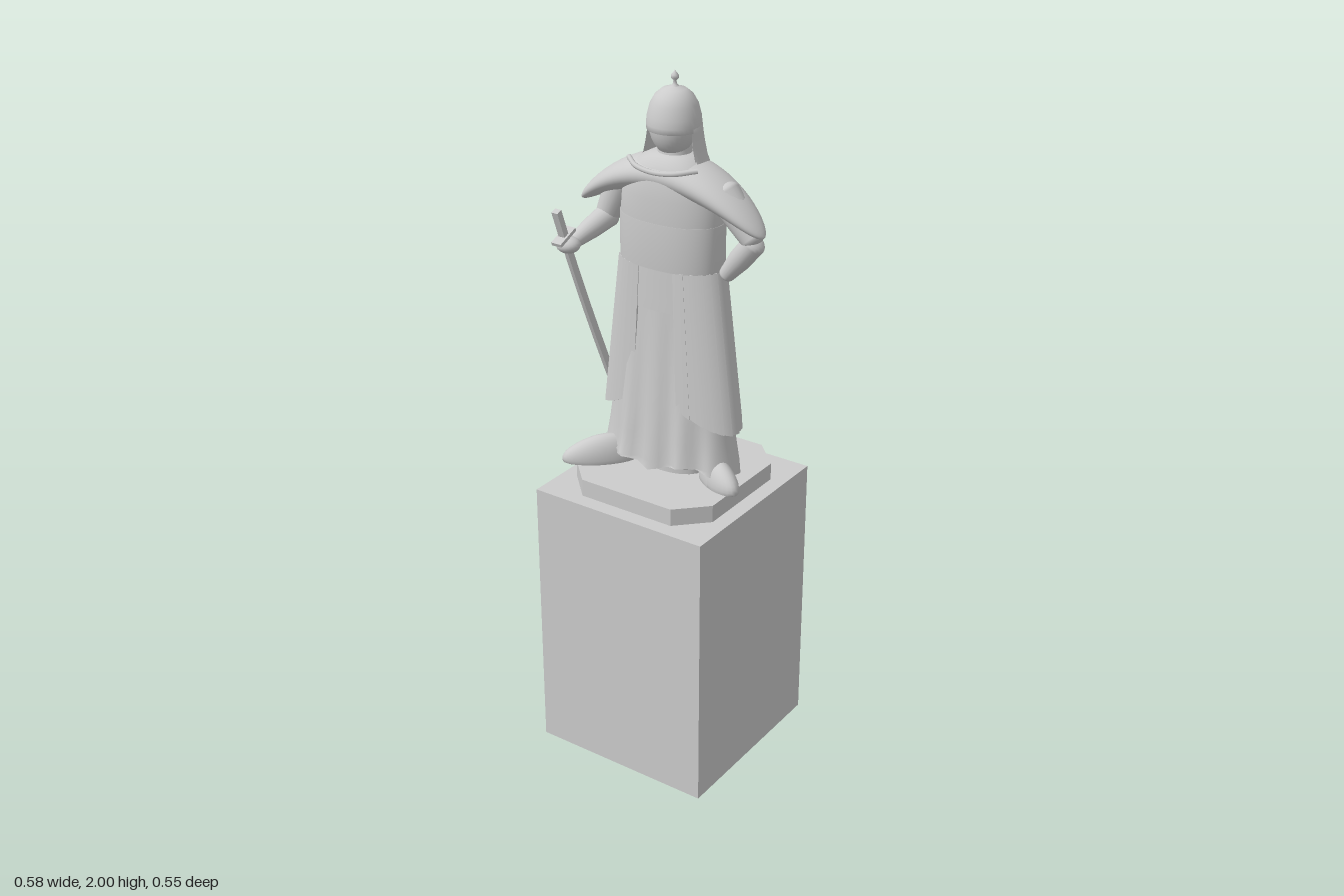
import * as THREE from 'three';

const mat = new THREE.MeshStandardMaterial({ color: 0xcccccc, side: THREE.DoubleSide });
const V = (x, y, z) => new THREE.Vector3(x, y, z);
const UP = V(0, 1, 0);
const lerp = THREE.MathUtils.lerp;

function add(group, name, geometry) {
  const mesh = new THREE.Mesh(geometry, mat);
  mesh.name = name;
  group.add(mesh);
  return mesh;
}

// Move every vertex of a geometry by a rule
function reshape(geometry, rule) {
  const p = geometry.attributes.position;
  for (let i = 0; i < p.count; i++) {
    const v = rule(p.getX(i), p.getY(i), p.getZ(i));
    p.setXYZ(i, v.x, v.y, v.z);
  }
  geometry.computeVertexNormals();
  return geometry;
}

// Point on an oval with separate front and back depths
function oval(a, rx, front, back, power = 0.88) {
  const c = Math.cos(a), s = Math.sin(a);
  return {
    x: rx * Math.sign(c) * Math.abs(c) ** power,
    z: (s > 0 ? front : back) * Math.sign(s) * Math.abs(s) ** power,
  };
}

// Surface through oval rings [y, halfWidth, front, back], lowest first
function loft(rings, rule = (v) => v, segments = 48) {
  const pos = [], index = [];
  rings.forEach(([y, rx, front, back], r) => {
    for (let i = 0; i < segments; i++) {
      const a = (i / segments) * Math.PI * 2;
      const o = oval(a, rx, front, back);
      const v = rule(V(o.x, y, o.z), a, r / (rings.length - 1));
      pos.push(v.x, v.y, v.z);
      if (r === rings.length - 1) continue;
      const p = r * segments + i, q = r * segments + ((i + 1) % segments);
      index.push(p, p + segments, q, q, p + segments, q + segments);
    }
  });
  const g = new THREE.BufferGeometry();
  g.setAttribute('position', new THREE.Float32BufferAttribute(pos, 3));
  g.setIndex(index);
  g.computeVertexNormals();
  return g;
}

// Rounded, tapered limb between two points
function limb(group, name, a, b, ra, rb, bulge = 0) {
  const len = a.distanceTo(b), pts = [];
  for (let i = 0; i <= 5; i++) {
    const t = (i / 5) * Math.PI / 2;
    pts.push(new THREE.Vector2(ra * Math.sin(t), -ra * 0.6 * Math.cos(t)));
  }
  pts.push(new THREE.Vector2((ra + rb) / 2 + bulge, len / 2));
  for (let i = 0; i <= 5; i++) {
    const t = (i / 5) * Math.PI / 2;
    pts.push(new THREE.Vector2(rb * Math.cos(t), len + rb * 0.6 * Math.sin(t)));
  }
  const m = add(group, name, new THREE.LatheGeometry(pts, 20));
  m.position.copy(a);
  m.quaternion.setFromUnitVectors(UP, b.clone().sub(a).normalize());
  return m;
}

// Curved armour plate hung on the skirt between two angles
function plate(a0, a1, top, bottomAt, lift0, lift1) {
  return reshape(new THREE.BoxGeometry(1, 1, 1, 4, 4, 1), (x, y, z) => {
    const u = x + 0.5, a = lerp(a0, a1, u);
    const h = lerp(bottomAt(a), top, y + 0.5);
    const t = (1.49 - h) / 0.46;
    const off = (z - 0.5) * 0.012 + lerp(lift0, lift1, u);
    const o = oval(a, lerp(0.15, 0.208, t) + off, lerp(0.083, 0.092, t) + off, lerp(0.08, 0.098, t) + off);
    return V(o.x, h, o.z);
  });
}

function buildBase(group) {
  add(group, 'pedestal', new THREE.BoxGeometry(0.55, 0.83, 0.55)).position.set(0.003, 0.415, 0);
  const r = 0.23, c = 0.148;
  const shape = new THREE.Shape([[r, c], [c, r], [-c, r], [-r, c], [-r, -c], [-c, -r], [c, -r], [r, -c]]
    .map(([x, y]) => new THREE.Vector2(x, y)));
  const g = new THREE.ExtrudeGeometry(shape, { depth: 0.05, bevelEnabled: false });
  add(group, 'plinth', g.rotateX(-Math.PI / 2)).position.set(0.003, 0.83, 0);
}

function buildRobe(group) {
  // Long robe: hem raised in front, with folds fading upward
  const rings = [
    [0.885, 0.212, 0.108, 0.1], [0.93, 0.208, 0.105, 0.1], [1.0, 0.194, 0.1, 0.1], [1.1, 0.18, 0.093, 0.098],
    [1.25, 0.164, 0.086, 0.092], [1.38, 0.152, 0.082, 0.083], [1.5, 0.146, 0.08, 0.078],
  ];
  add(group, 'robe', loft(rings, (v, a, t) => {
    const s = Math.max(0, Math.sin(a)), fade = (1 - t) ** 1.3;
    const knee = Math.exp(-(((v.x + 0.09) / 0.06) ** 2)) * 0.022;
    v.z += s * fade * (0.013 * Math.cos(v.x * 70) + knee);
    if (t === 0) v.y += 0.048 * THREE.MathUtils.smoothstep(Math.sin(a), -0.7, 0.3) * (0.75 - 0.25 * Math.cos(v.x * 30));
    return v;
  }, 72));
  add(group, 'innerRobe', new THREE.CylinderGeometry(0.1, 0.1, 0.12, 20).scale(1, 1, 0.6)).position.set(0, 0.94, 0);

  // Plates around each hip, long at the sides and cut away front and back
  const front = 1.26, back = 1.53;
  const hem = (a) => {
    const b = Math.cos(a) >= 0 ? Math.atan2(Math.sin(a), Math.cos(a)) : Math.atan2(Math.sin(a), -Math.cos(a));
    return b > 0 ? 1.03 + 0.07 * (b / front) ** 2 : 1.03 + 0.31 * (-b / back) ** 2.2;
  };
  for (const side of [1, -1]) {
    const skirt = new THREE.Group();
    skirt.name = side > 0 ? 'leftSkirtArmour' : 'rightSkirtArmour';
    const n = 13;
    for (let i = 0; i < n; i++) {
      const a = [i, i + 1].map((k) => {
        const b = lerp(front, -back, k / n);
        return side > 0 ? b : Math.PI - b;
      });
      const lift = [0.002, 0.009];
      if (side > 0) { a.reverse(); lift.reverse(); }
      else a.sort((p, q) => p - q);
      // Angles run so that the box faces stay outward after bending
      add(skirt, 'skirtPlate', plate(Math.max(...a), Math.min(...a), 1.49, hem,
        side > 0 ? 0.002 : 0.009, side > 0 ? 0.009 : 0.002));
    }
    group.add(skirt);
  }
  add(group, 'frontApron', plate(Math.PI / 2 + 0.5, Math.PI / 2 - 0.5, 1.49, () => 1.37, 0.001, 0.001));
}

function buildTorso(group) {
  add(group, 'torso', loft([
    [1.485, 0.152, 0.086, 0.084], [1.55, 0.15, 0.087, 0.083], [1.62, 0.151, 0.09, 0.083],
    [1.68, 0.145, 0.09, 0.084], [1.73, 0.125, 0.086, 0.082], [1.765, 0.098, 0.075, 0.076],
    [1.785, 0.06, 0.05, 0.055], [1.79, 0.001, 0.001, 0.001],
  ]));
  add(group, 'waistBand', loft([
    [1.488, 0.149, 0.083, 0.081], [1.488, 0.155, 0.09, 0.087], [1.615, 0.154, 0.092, 0.086], [1.615, 0.148, 0.086, 0.08],
  ]));
  // Broad mantle drooping over both shoulders
  add(group, 'shoulderMantle', reshape(new THREE.SphereGeometry(1, 48, 32).rotateZ(Math.PI / 2), (x, y, z) =>
    V(0.288 * x, 1.735 - 0.122 * x * x + 0.05 * y, 0.087 * z + 0.008 * x * x)));
  // Raised collar edge across the chest
  const collar = new THREE.CatmullRomCurve3([V(-0.108, 1.765, 0.045), V(-0.06, 1.757, 0.079),
    V(0, 1.752, 0.087), V(0.06, 1.757, 0.079), V(0.108, 1.765, 0.045)]);
  add(group, 'collar', new THREE.TubeGeometry(collar, 24, 0.007, 8));
}

function buildHead(group) {
  add(group, 'face', new THREE.SphereGeometry(1, 32, 20).scale(0.063, 0.085, 0.062)).position.set(0, 1.862, 0);
  add(group, 'neck', new THREE.CylinderGeometry(0.042, 0.05, 0.06, 20)).position.set(0, 1.785, -0.01);
  const dome = [[0.066, 0], [0.072, 0], [0.073, 0.015], [0.071, 0.035], [0.063, 0.066], [0.05, 0.089], [0.032, 0.104], [0, 0.113]];
  add(group, 'helmet', new THREE.LatheGeometry(dome.map(([x, y]) => new THREE.Vector2(x, y)), 36))
    .position.set(0.001, 1.848, -0.005);
  const tip = [[0.011, 0], [0.006, 0.005], [0.004, 0.014], [0.01, 0.021], [0.01, 0.029], [0.004, 0.036], [0, 0.042]];
  add(group, 'finial', new THREE.LatheGeometry(tip.map(([x, y]) => new THREE.Vector2(x, y)), 12))
    .position.set(0.003, 1.958, -0.005);
  // Neck guard hanging behind and beside the face
  const guard = [[0.094, -0.092], [0.086, -0.07], [0.079, -0.035], [0.074, 0], [0.072, 0.02], [0.066, 0.02], [0.07, -0.035], [0.086, -0.092]];
  add(group, 'neckGuard', new THREE.LatheGeometry(guard.map(([x, y]) => new THREE.Vector2(x, y)), 32,
    Math.PI * 0.42, Math.PI * 1.16)).position.set(0.001, 1.848, -0.006);
}

function buildArms(group) {
  // Left hand rests on the hip
  limb(group, 'leftUpperArm', V(0.16, 1.7, 0), V(0.25, 1.6, 0), 0.045, 0.034);
  limb(group, 'leftForearm', V(0.252, 1.585, 0), V(0.172, 1.485, 0), 0.032, 0.022, 0.004);
  // Right hand grips the sword
  limb(group, 'rightUpperArm', V(-0.16, 1.69, 0), V(-0.2, 1.585, 0.015), 0.045, 0.034);
  limb(group, 'rightForearm', V(-0.2, 1.578, 0.015), V(-0.217, 1.538, 0.145), 0.034, 0.02, 0.002);
  add(group, 'rightHand', new THREE.SphereGeometry(1, 20, 14).scale(0.034, 0.023, 0.032)).position.set(-0.22, 1.535, 0.167);
}

function buildSword(group) {
  const sword = new THREE.Group();
  sword.name = 'sword';
  const top = V(-0.221, 1.64, 0.212), grip = V(-0.222, 1.55, 0.178), end = V(-0.22, 0.885, -0.105);
  const bar = (name, a, b, w, d) => {
    const m = add(sword, name, new THREE.BoxGeometry(w, a.distanceTo(b), d));
    m.position.copy(a).add(b).multiplyScalar(0.5);
    m.quaternion.setFromUnitVectors(UP, a.clone().sub(b).normalize());
    return m;
  };
  bar('hilt', top, grip, 0.02, 0.018);
  bar('guard', V(-0.222, 1.566, 0.185), V(-0.222, 1.557, 0.181), 0.032, 0.07);
  // Slightly bowed blade in short lengths
  const curve = new THREE.QuadraticBezierCurve3(grip, V(-0.222, 1.24, 0.06), end);
  const pts = curve.getPoints(6);
  for (let i = 0; i < 6; i++) bar('blade', pts[i], pts[i + 1], 0.012, 0.022);
  group.add(sword);
}

function buildFeet(group) {
  // Boots turned outward, flat underneath
  const boot = (name, heel, toe) => {
    const len = heel.distanceTo(toe);
    const g = reshape(new THREE.SphereGeometry(1, 24, 16), (x, y, z) =>
      V(x * 0.038, Math.max(0, y * lerp(0.085, 0.045, (z + 1) / 2) + 0.012), (z + 1) / 2 * len));
    const m = add(group, name, g);
    m.position.copy(heel);
    m.rotation.y = Math.atan2(toe.x - heel.x, toe.z - heel.z);
  };
  boot('rightBoot', V(-0.1, 0.88, 0.03), V(-0.255, 0.88, 0.178));
  boot('leftBoot', V(0.1, 0.88, 0.0), V(0.258, 0.88, 0.075));
}

export function createModel() {
  const model = new THREE.Group();
  model.name = 'warriorStatue';
  for (const build of [buildBase, buildRobe, buildTorso, buildHead, buildArms, buildSword, buildFeet]) build(model);
  return model;
}
